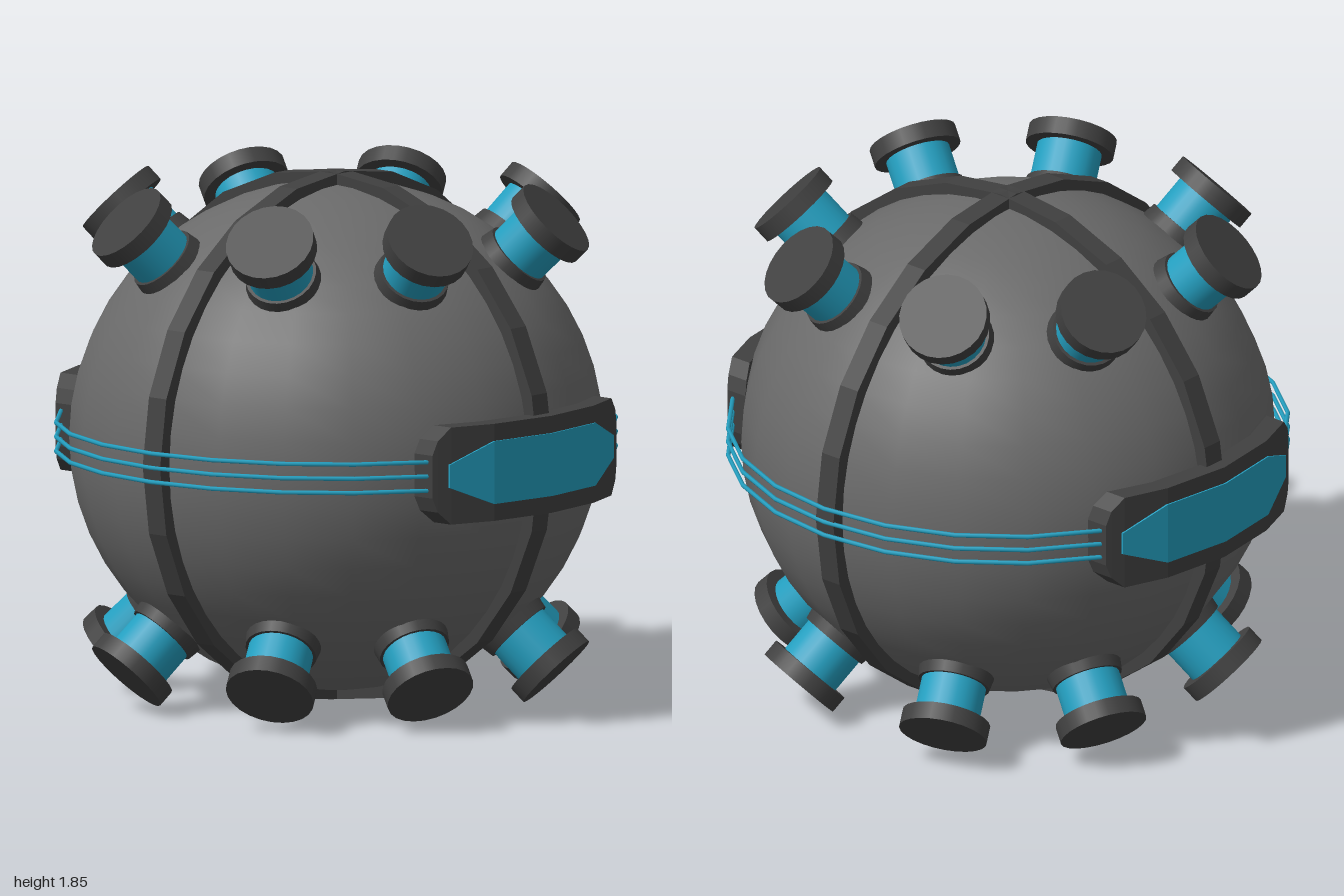
import * as THREE from 'three';

const CENTER_Y = 0.93;
const paint = (color) => new THREE.MeshStandardMaterial({ color });

export function createModel() {
  const model = new THREE.Group();
  const body = new THREE.Group();
  body.name = 'body';
  body.position.y = CENTER_Y;
  model.add(body);

  const grey = paint(0x6a6a6a);
  const dark = paint(0x404040);
  const blue = paint(0x249fc0);

  function add(parent, name, geometry, material) {
    const mesh = new THREE.Mesh(geometry, material);
    mesh.name = name;
    parent.add(mesh);
    return mesh;
  }

  // Slightly squashed spherical hull
  add(body, 'hull', new THREE.SphereGeometry(0.925, 24, 24), grey).scale.y = 0.957;

  // Two raised bands crossing at the poles
  const outline = (path, rx, ry) => {
    const points = [];
    for (let i = 0; i < 24; i++) {
      const a = (i / 24) * Math.PI * 2;
      points.push(new THREE.Vector2(rx * Math.cos(a), ry * Math.sin(a)));
    }
    return path.setFromPoints(points);
  };
  const ring = outline(new THREE.Shape(), 0.968, 0.925);
  ring.holes.push(outline(new THREE.Path(), 0.89, 0.85));
  const bandGeometry = new THREE.ExtrudeGeometry(ring, { depth: 0.08, bevelEnabled: false });
  bandGeometry.translate(0, 0, -0.04);
  add(body, 'crossBand', bandGeometry, dark);
  add(body, 'lengthBand', bandGeometry, dark).rotation.y = Math.PI / 2;

  // Three thin wires around the equator
  for (const y of [-0.05, 0, 0.05]) {
    const wire = add(body, 'equatorWire', new THREE.TorusGeometry(0.97, 0.008, 6, 24), blue);
    wire.rotation.x = Math.PI / 2;
    wire.position.y = y;
  }

  // Curved side plates, swept through stations of [z, half height]
  function curvedPlate(stations, inner, outer) {
    const sections = stations.map(([z, h]) => {
      const xi = Math.sqrt(inner * inner - z * z);
      const xo = Math.sqrt(outer * outer - z * z);
      return [[xi, -h, z], [xo, -h, z], [xo, h, z], [xi, h, z]];
    });
    const positions = [];
    const quad = (a, b, c, d) => positions.push(...a, ...b, ...c, ...a, ...c, ...d);
    for (let i = 0; i < sections.length - 1; i++) {
      const s = sections[i];
      const t = sections[i + 1];
      for (let j = 0; j < 4; j++) {
        const k = (j + 1) % 4;
        quad(s[j], s[k], t[k], t[j]);
      }
    }
    const [d, c, b, a] = sections[0];
    quad(a, b, c, d);
    quad(...sections[sections.length - 1]);
    const geometry = new THREE.BufferGeometry();
    geometry.setAttribute('position', new THREE.Float32BufferAttribute(positions, 3));
    geometry.computeVertexNormals();
    return geometry;
  }
  const mirrored = (half) => [...half.map(([z, h]) => [-z, h]), ...half.slice(0, -1).reverse()];
  const frameGeometry = curvedPlate(
    mirrored([[0.482, 0.075], [0.465, 0.125], [0.42, 0.17], [0.26, 0.17], [0, 0.17]]), 0.92, 0.992);
  const insetGeometry = curvedPlate(
    mirrored([[0.43, 0.04], [0.265, 0.11], [0, 0.11]]), 0.96, 0.998);
  for (const [side, turn] of [['left', 0], ['right', Math.PI]]) {
    const panel = new THREE.Group();
    panel.name = side + 'Panel';
    panel.rotation.y = turn;
    add(panel, 'panelFrame', frameGeometry, dark);
    add(panel, 'panelInset', insetGeometry, blue);
    body.add(panel);
  }

  // Sixteen capped knobs, eight above and eight below the equator
  const tube = (top, bottom, from, to) =>
    new THREE.CylinderGeometry(top, bottom, to - from, 24).translate(0, (from + to) / 2, 0);
  const collarGeometry = tube(0.125, 0.14, 0.85, 0.935);
  const stemGeometry = tube(0.114, 0.114, 0.88, 1.07);
  const capGeometry = tube(0.155, 0.155, 1.063, 1.125);
  const up = new THREE.Vector3(0, 1, 0);
  const tilt = THREE.MathUtils.degToRad(24.5);
  for (const sy of [1, -1]) {
    for (let quarter = 0; quarter < 4; quarter++) {
      for (const offset of [tilt, Math.PI / 2 - tilt]) {
        const a = quarter * Math.PI / 2 + offset;
        const axis = new THREE.Vector3(Math.cos(a), sy, Math.sin(a)).normalize();
        const knob = new THREE.Group();
        knob.name = sy > 0 ? 'upperKnob' : 'lowerKnob';
        knob.quaternion.setFromUnitVectors(up, axis);
        add(knob, 'knobCollar', collarGeometry, dark);
        add(knob, 'knobStem', stemGeometry, blue);
        add(knob, 'knobCap', capGeometry, dark);
        body.add(knob);
      }
    }
  }

  return model;
}
